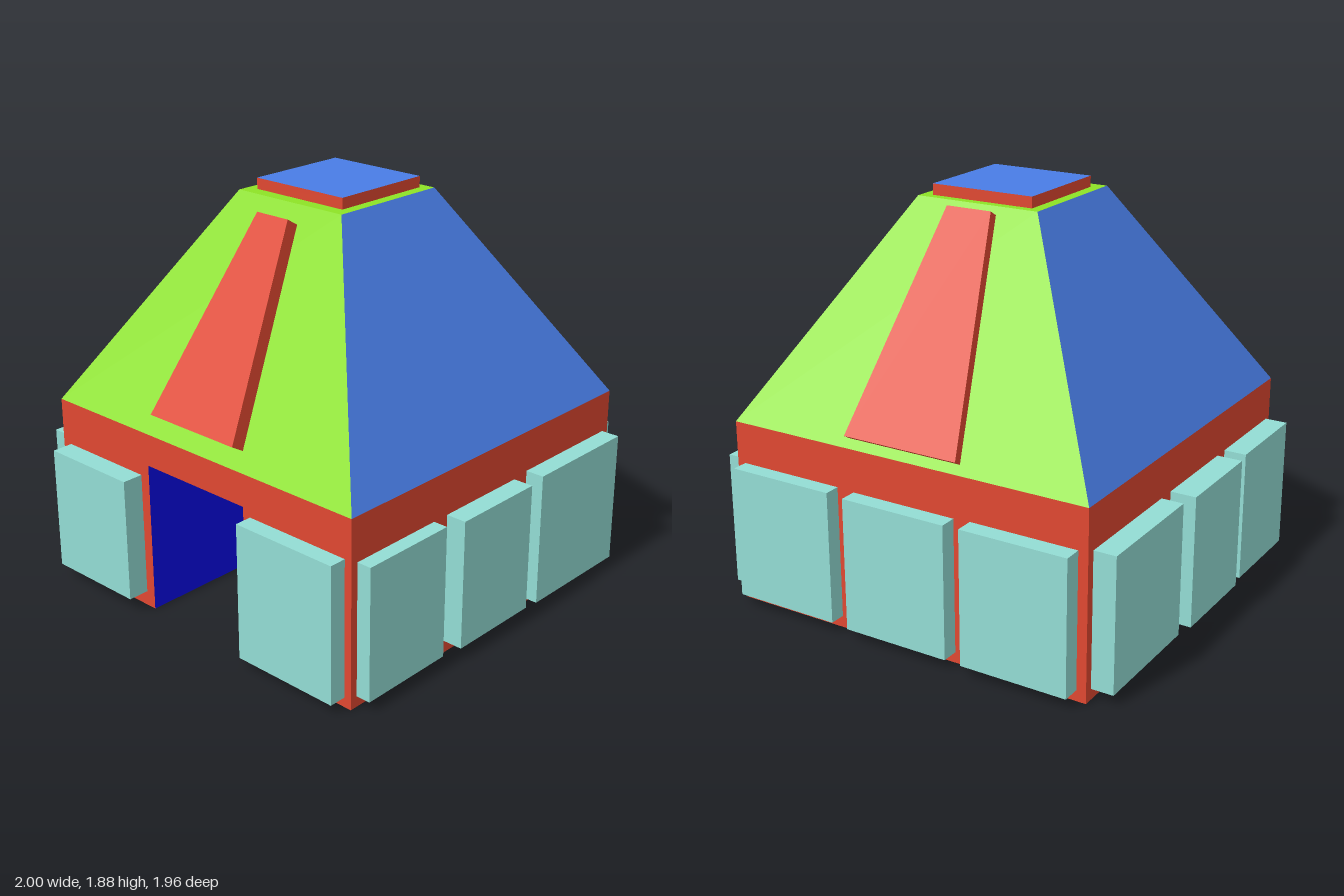
import * as THREE from 'three';

const mat = (name, color) => {
  const m = new THREE.MeshStandardMaterial({ color });
  m.name = name;
  return m;
};

// Closed solid between two four-cornered rings, both anticlockwise seen from the outer end.
// Face groups: 0-3 sides, 4 outer end, 5 inner end.
function prism(name, inner, outer, materials) {
  const faces = [];
  for (let i = 0; i < 4; i++) {
    const j = (i + 1) % 4;
    faces.push([inner[i], inner[j], outer[j], outer[i]]);
  }
  faces.push(outer, [...inner].reverse());
  const pos = [];
  const geo = new THREE.BufferGeometry();
  faces.forEach(([a, b, c, d], i) => {
    pos.push(...a, ...b, ...c, ...a, ...c, ...d);
    geo.addGroup(i * 6, 6, i);
  });
  geo.setAttribute('position', new THREE.Float32BufferAttribute(pos, 3));
  geo.computeVertexNormals();
  const mesh = new THREE.Mesh(geo, Array.isArray(materials) ? materials : faces.map(() => materials));
  mesh.name = name;
  return mesh;
}

// Horizontal rectangle: front left, front right, back right, back left
const ring = (x0, x1, z0, z1, y) => [[x0, y, z1], [x1, y, z1], [x1, y, z0], [x0, y, z0]];
const block = (name, x0, x1, y0, y1, z0, z1, materials) =>
  prism(name, ring(x0, x1, z0, z1, y0), ring(x0, x1, z0, z1, y1), materials);

export function createModel() {
  const red = mat('wall red', 0xe04831);
  const green = mat('roof green', 0x8ee326);
  const blue = mat('roof blue', 0x497de6);
  const teal = mat('window teal', 0x93ddd4);
  const navy = mat('interior blue', 0x0a0aee);
  const sky = mat('doorway blue', 0x30a8e2);

  const model = new THREE.Group();
  model.name = 'house';

  const X0 = -0.88, X1 = 0.9, Z0 = -0.9, Z1 = 0.875, EAVE = 0.86, TOP = 1.83;
  const D0 = -0.29, D1 = 0.3, DOOR = 0.71, DEPTH = -0.12;

  // Walls around a deep open doorway
  const walls = new THREE.Group();
  walls.name = 'walls';
  walls.add(
    block('leftWall', D1, X1, 0, EAVE, DEPTH, Z1, [red, red, red, navy, red, navy]),
    block('rightWall', X0, D0, 0, EAVE, DEPTH, Z1, [red, navy, red, red, red, navy]),
    block('backWall', X0, X1, 0, EAVE, Z0, DEPTH, [sky, red, red, red, red, navy]),
    block('lintel', D0, D1, DOOR, EAVE, DEPTH, Z1, [red, red, red, red, red, navy])
  );
  model.add(walls);

  // Truncated pyramid roof and its cap
  model.add(
    prism('roof', ring(X0, X1, Z0, Z1, EAVE), ring(-0.29, 0.31, -0.31, 0.29, TOP),
      [green, blue, green, blue, green, green]),
    block('roofCap', -0.24, 0.26, TOP, 1.88, -0.27, 0.23, [red, red, red, red, blue, red])
  );

  // Tapered panels lying on the front and back slopes: y and z of the outer face, thickness
  const slopePanel = (name, side, low, high, wLow, wHigh, thick) => {
    const cx = 0.01;
    const at = (w, [y, z], d) => [cx + w * side, y - d * 0.516, z - d * 0.856 * side];
    const face = d => [at(-wLow, low, d), at(wLow, low, d), at(wHigh, high, d), at(-wHigh, high, d)];
    return prism(name, face(thick), face(0), red);
  };
  model.add(
    slopePanel('frontRoofPanel', 1, [0.97, 0.89], [1.79, 0.39], 0.25, 0.09, 0.072),
    slopePanel('backRoofPanel', -1, [0.92, -0.912], [1.82, -0.37], 0.28, 0.11, 0.046)
  );

  // Raised window blocks: [start, end, bottom, top, outer position]
  const windows = new THREE.Group();
  windows.name = 'windows';
  const frontBack = [
    [-0.83, -0.34, 0.07, 0.65, 0.975], [0.34, 0.865, 0.045, 0.675, 0.955],
    [-0.835, -0.33, 0.05, 0.67, -0.985], [-0.25, 0.26, 0.05, 0.665, -0.98],
    [0.345, 0.86, 0.055, 0.67, -0.975]
  ];
  for (const [a, b, y0, y1, z] of frontBack) {
    const wall = z > 0 ? Z1 : Z0;
    windows.add(block(z > 0 ? 'frontWindow' : 'backWindow', a, b, y0, y1, Math.min(z, wall), Math.max(z, wall), teal));
  }
  const sides = [
    [0.37, 0.84, 0.05, 0.66, 0.968], [-0.18, 0.285, 0.06, 0.66, 0.995], [-0.86, -0.268, 0.045, 0.67, 0.988],
    [0.365, 0.84, 0.05, 0.665, -0.985], [-0.185, 0.29, 0.05, 0.665, -1], [-0.86, -0.27, 0.05, 0.665, -0.983]
  ];
  for (const [a, b, y0, y1, x] of sides) {
    const wall = x > 0 ? X1 : X0;
    windows.add(block(x > 0 ? 'leftWindow' : 'rightWindow', Math.min(x, wall), Math.max(x, wall), y0, y1, a, b, teal));
  }
  model.add(windows);
  return model;
}
